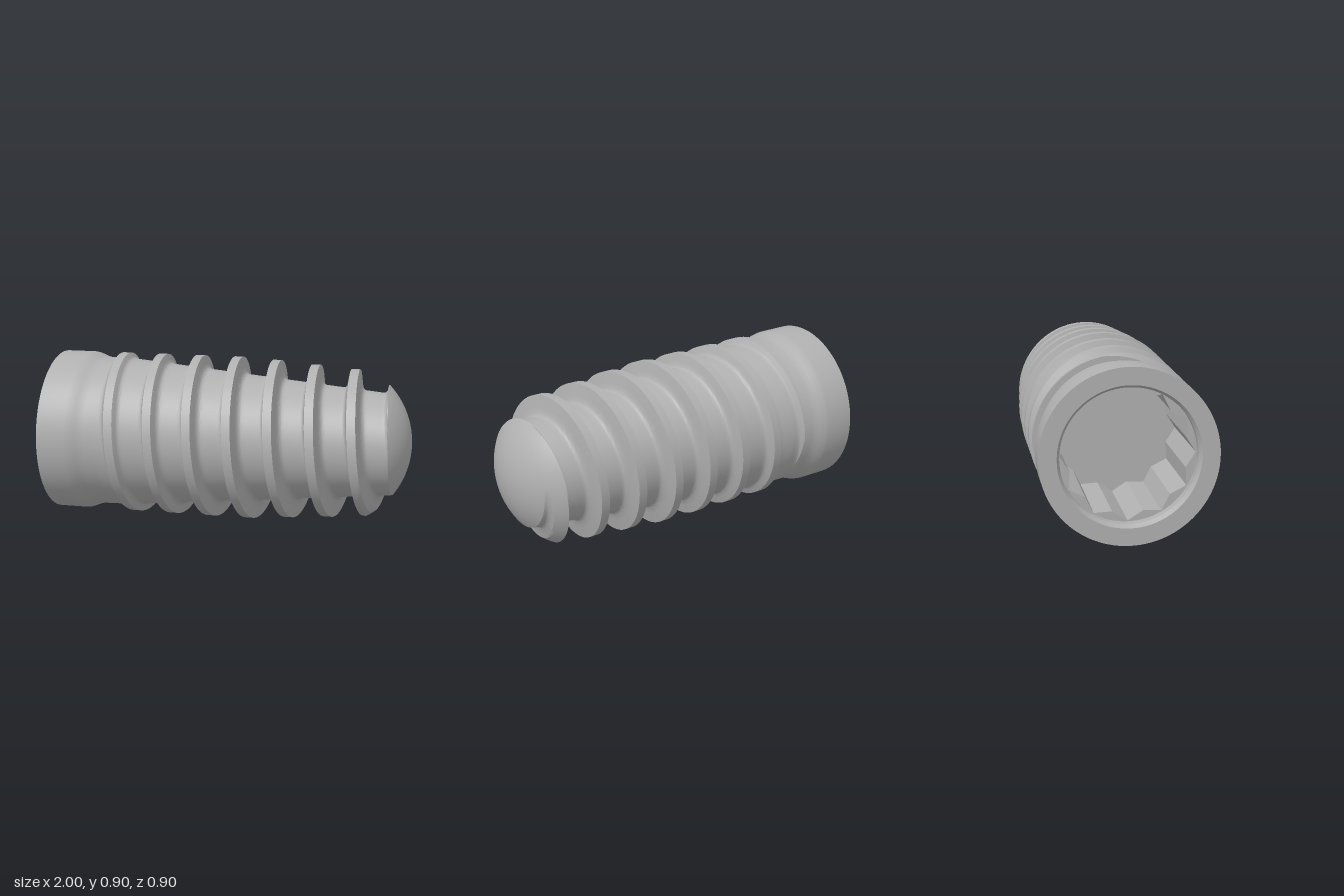
import * as THREE from 'three';
import { toCreasedNormals } from 'three/addons/utils/BufferGeometryUtils.js';

const AXIS_Y = 0.45, PITCH = 0.22, START = -0.665, END = 0.91, SEGMENTS = 96;
const DOME_R = 0.46, DOME_X = 1 - DOME_R;

// Tapered core and thread crest radii along the axis
const coreRadius = (x) => Math.min(0.418, 0.408 - 0.0946 * (x + 0.5));
const crestRadius = (x) => 0.45 - 0.08 * Math.max(0, x - 0.1);

// Thread section: flat crest, steep flank, small fillet at the root
function threadProfile(d) {
  const t = (Math.abs(d) - 0.024) / 0.036;
  if (t <= 0) return 1;
  if (t < 0.5) return 1 - 1.7 * t;
  return t < 1 ? 0.15 * (2 - 2 * t) ** 2 : 0;
}

// Radius of the threaded body, trimmed by the rounded tip
function bodyRadius(x, phi) {
  const offset = x - 0.025 - PITCH * phi / (2 * Math.PI);
  const d = offset - PITCH * Math.round(offset / PITCH);
  const core = coreRadius(x);
  const r = core + (crestRadius(x - d) - core) * threadProfile(d);
  if (x <= DOME_X) return r;
  return Math.min(r, Math.sqrt(DOME_R ** 2 - (x - DOME_X) ** 2));
}

// One pitch-wide section swept along the helix, cut flat at both ends
function threadedBody() {
  const half = [0.006, 0.012, 0.018, 0.024, 0.03, 0.036, 0.042, 0.046, 0.05, 0.055, 0.06, 0.075, 0.09, 0.11];
  const section = [...half.map((d) => -d).reverse(), 0, ...half];
  const n = section.length, first = Math.round(-3.75 * SEGMENTS), last = Math.round(4.6 * SEGMENTS);
  const pos = [], xs = [], index = [];
  for (let i = first; i <= last; i++) {
    const turn = i / SEGMENTS, phi = turn * 2 * Math.PI;
    for (const d of section) {
      const x = THREE.MathUtils.clamp(0.025 + PITCH * turn + d, START, END);
      const r = bodyRadius(x, phi);
      pos.push(x, r * Math.cos(phi), r * Math.sin(phi));
      xs.push(x);
    }
  }
  const triangle = (a, b, c) => {
    const flat = xs[a] === xs[b] && xs[b] === xs[c];
    if (!flat) index.push(a, b, c);
  };
  for (let i = 0; i < last - first; i++) {
    for (let j = 0; j < n - 1; j++) {
      const a = i * n + j, b = a + n;
      triangle(a, b, a + 1);
      triangle(b, b + 1, a + 1);
    }
  }
  const geo = new THREE.BufferGeometry();
  geo.setAttribute('position', new THREE.Float32BufferAttribute(pos, 3));
  geo.setIndex(index);
  return toCreasedNormals(geo, 0.5);
}

// Flat face where the thread starts
function threadStart() {
  const geo = new THREE.RingGeometry(0.41, 0.45, SEGMENTS, 1).rotateY(-Math.PI / 2);
  const p = geo.attributes.position;
  for (let i = 0; i < p.count; i++) {
    const y = p.getY(i), z = p.getZ(i), phi = Math.atan2(z, y);
    const r = Math.hypot(y, z) > 0.43 ? bodyRadius(START, phi) : 0.41;
    p.setXYZ(i, START, r * Math.cos(phi), r * Math.sin(phi));
  }
  return geo;
}

// Lathe around the x axis from [radius, x] pairs
function turned(points) {
  const geo = new THREE.LatheGeometry(points.map(([r, x]) => new THREE.Vector2(r, x)), SEGMENTS);
  return toCreasedNormals(geo.rotateZ(-Math.PI / 2), 0.5);
}

// Twelve-point drive socket as a sleeve inside the body
function socketSleeve() {
  const shape = new THREE.Shape().absarc(0, 0, 0.37, 0, Math.PI * 2);
  const star = [];
  for (let i = 0; i < 24; i++) {
    const r = i % 2 ? 0.3 : 0.34, a = i * Math.PI / 12;
    star.push(new THREE.Vector2(r * Math.cos(a), r * Math.sin(a)));
  }
  shape.holes.push(new THREE.Path(star));
  const geo = new THREE.ExtrudeGeometry(shape, { depth: 0.53, bevelEnabled: false, curveSegments: 32 });
  return geo.rotateY(Math.PI / 2).translate(-0.93, 0, 0);
}

export function createModel() {
  const group = new THREE.Group();
  const metal = new THREE.MeshStandardMaterial({ color: 0xb0b0b0 });
  metal.name = 'grey metal';
  const add = (name, geometry) => {
    const mesh = new THREE.Mesh(geometry, metal);
    mesh.name = name;
    mesh.position.y = AXIS_Y;
    group.add(mesh);
  };

  // Collar: entry bore, chamfer, end face, outer wall and neck
  add('collar', turned([
    [0.345, -0.93], [0.345, -0.975], [0.36, -1], [0.45, -1], [0.45, -0.84],
    [0.447, -0.82], [0.434, -0.785], [0.424, -0.76], [0.42, -0.735], [0.418, START],
  ]));
  add('threadedBody', threadedBody());
  add('threadStart', threadStart());

  // Rounded tip
  const dome = [];
  for (let i = 0; i <= 16; i++) {
    const a = Math.acos((END - DOME_X) / DOME_R) * (1 - i / 16);
    dome.push([DOME_R * Math.sin(a), DOME_X + DOME_R * Math.cos(a)]);
  }
  add('roundedTip', turned(dome));

  add('driveSocket', socketSleeve());
  add('socketFloor', new THREE.CircleGeometry(0.36, 48).rotateY(-Math.PI / 2).translate(-0.41, 0, 0));
  return group;
}
